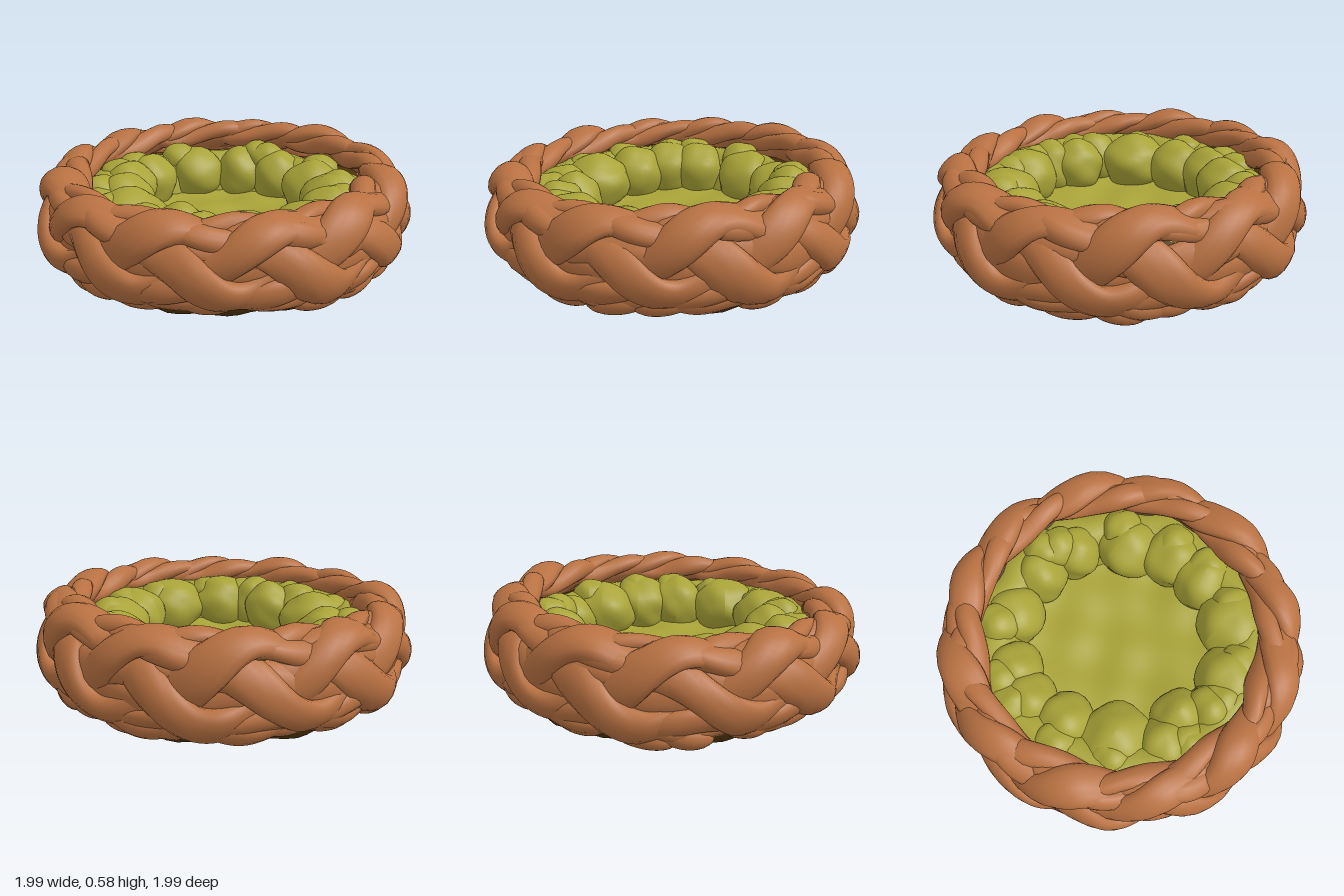
import * as THREE from 'three';

const TAU = Math.PI * 2;
const rad = THREE.MathUtils.degToRad;

export function createModel() {
  const mat = (name, color) => {
    const m = new THREE.MeshStandardMaterial({ color });
    m.name = name;
    return m;
  };
  const wood = mat('reddish brown twig', 0xb87142);
  const dark = mat('dark brown underlayer', 0x50340a);
  const moss = mat('olive moss', 0xa8a338);

  const nest = new THREE.Group();
  nest.name = 'nest';
  const add = (name, geo, material, parent = nest) => {
    const m = new THREE.Mesh(geo, material);
    m.name = name;
    parent.add(m);
    return m;
  };
  const group = (name) => {
    const g = new THREE.Group();
    g.name = name;
    nest.add(g);
    return g;
  };
  let seed = 7;
  const rnd = (a, b) => {
    seed = (seed * 16807) % 2147483647;
    return a + (b - a) * (seed / 2147483647);
  };

  // Point on the ring: theta runs round the nest, phi round the ring's section.
  // The rim dips towards the front.
  const ringPoint = (theta, phi, lift) => {
    const r = 0.82 + (0.1 + lift) * Math.cos(phi);
    const rise = Math.sin(phi) > 0 ? 0.18 - 0.035 * Math.cos(theta) : 0.19;
    return new THREE.Vector3(r * Math.sin(theta), 0.28 + (rise + lift) * Math.sin(phi), r * Math.cos(theta));
  };

  // Closed twig: phi swings up and down while the twig passes over and under
  function twig({ waves, phase, mid, swing, wide, thick, weave, sink = 0 }) {
    const N = 260, M = 14, pos = [], idx = [];
    const phiAt = (t) => rad(mid + swing * Math.sin(waves * t + phase) + 5 * Math.sin(3 * t + phase * 2));
    const at = (t) => ringPoint(t, phiAt(t), weave * Math.sin(2 * (waves * t + phase)) - sink);
    for (let i = 0; i < N; i++) {
      const t = (i / N) * TAU, phi = phiAt(t), c = at(t);
      const tangent = at(t + 0.01).sub(at(t - 0.01)).normalize();
      const out = new THREE.Vector3(Math.cos(phi) * Math.sin(t), Math.sin(phi), Math.cos(phi) * Math.cos(t));
      out.addScaledVector(tangent, -out.dot(tangent)).normalize();
      const side = new THREE.Vector3().crossVectors(out, tangent);
      const swell = 1 + 0.1 * Math.sin(7 * t + phase * 3) + 0.05 * Math.sin(17 * t + phase);
      for (let j = 0; j < M; j++) {
        const a = (j / M) * TAU;
        const groove = 1 + 0.04 * Math.sin(3 * a + 9 * t + phase);
        const p = c.clone()
          .addScaledVector(out, Math.cos(a) * thick * swell * groove)
          .addScaledVector(side, Math.sin(a) * wide * swell * groove);
        pos.push(p.x, Math.max(p.y, 0.015), p.z);
        const k = ((i + 1) % N) * M, n = (j + 1) % M;
        idx.push(i * M + j, k + j, i * M + n, i * M + n, k + j, k + n);
      }
    }
    const g = new THREE.BufferGeometry();
    g.setAttribute('position', new THREE.Float32BufferAttribute(pos, 3));
    g.setIndex(idx);
    g.computeVertexNormals();
    return g;
  }
  function braid(name, twigName, strands, options) {
    const g = group(name);
    for (let k = 0; k < strands; k++) {
      add(twigName, twig({ ...options, phase: options.phase + (k * TAU) / strands }), wood, g);
    }
  }
  // Big braid round the outside wall over a filler layer, finer ones along rim and foot
  braid('wallBraid', 'wallTwig', 3, { waves: 4, phase: 4.77, mid: 20, swing: 58, wide: 0.098, thick: 0.06, weave: 0.038 });
  braid('fillerLayer', 'fillerTwig', 2, { waves: 3, phase: 0.9, mid: 15, swing: 28, wide: 0.085, thick: 0.05, weave: 0.01, sink: 0.02 });
  braid('rimBraid', 'rimTwig', 3, { waves: 4, phase: 1.2, mid: 84, swing: 32, wide: 0.06, thick: 0.05, weave: 0.03 });
  braid('footBraid', 'footTwig', 2, { waves: 6, phase: 0.4, mid: -48, swing: 16, wide: 0.07, thick: 0.055, weave: 0.012 });

  // Short stubby twigs tucked under the wall
  const stubs = group('lowerTwigs');
  const COUNT = 22;
  for (let i = 0; i < COUNT; i++) {
    const holder = new THREE.Group();
    holder.rotation.y = ((i + rnd(-0.25, 0.25)) / COUNT) * TAU;
    stubs.add(holder);
    const stub = add('lowerTwig', new THREE.SphereGeometry(1, 20, 14), wood, holder);
    stub.scale.set(rnd(0.12, 0.17), 0.068, 0.075);
    stub.position.set(0, rnd(0.085, 0.13), rnd(0.84, 0.87));
    stub.rotation.z = rnd(-0.25, 0.25);
  }

  // Push the vertices beyond a radius in and out to make soft lobes
  function lobes(geo, from, rule) {
    const p = geo.attributes.position;
    for (let i = 0; i < p.count; i++) {
      const x = p.getX(i), z = p.getZ(i);
      if (Math.hypot(x, z) < from) continue;
      const s = 1 + rule(Math.atan2(x, z));
      p.setX(i, x * s);
      p.setZ(i, z * s);
    }
    geo.computeVertexNormals();
    return geo;
  }
  const lathe = (points) => new THREE.LatheGeometry(points.map(([x, y]) => new THREE.Vector2(x, y)), 96);

  // Dark body with a flat bottom and a lumpy lower edge
  const body = lathe([[0, 0.005], [0.5, 0.005], [0.76, 0.005], [0.83, 0.025], [0.885, 0.1], [0.895, 0.26],
    [0.85, 0.36], [0.78, 0.38], [0.72, 0.32], [0.62, 0.12], [0, 0.1]]);
  add('body', lobes(body, 0.75, (a) => 0.018 * Math.sin(a * 19) + 0.012 * Math.sin(a * 8)), dark);

  // Soft uneven floor
  const floorProfile = [];
  for (let i = 0; i <= 24; i++) floorProfile.push([0.66 * (1 - i / 24), 0]);
  const floor = lathe(floorProfile);
  const fp = floor.attributes.position;
  for (let i = 0; i < fp.count; i++) {
    const x = fp.getX(i), z = fp.getZ(i);
    fp.setY(i, 0.15 + 0.1 * (x * x + z * z) + 0.01 * Math.sin(16 * x + 1) * Math.cos(15 * z) + 0.004 * Math.sin(17 * z + 5 * x));
  }
  floor.computeVertexNormals();
  add('mossFloor', floor, moss);

  // Continuous moss bank behind the cushions
  const bank = lathe([[0.79, 0.36], [0.75, 0.385], [0.7, 0.395], [0.64, 0.38], [0.59, 0.33], [0.56, 0.24], [0.54, 0.15]]);
  add('mossBank', lobes(bank, 0, (a) => 0.025 * Math.sin(a * 15 + 1) + 0.015 * Math.sin(a * 7)), moss);

  // Lumpy cushions lining the wall
  const lining = group('mossLining');
  function cushion(x, y, z, w, h) {
    const g = new THREE.SphereGeometry(1, 28, 20);
    const p = g.attributes.position, v = new THREE.Vector3(), ph = rnd(0, TAU);
    for (let i = 0; i < p.count; i++) {
      v.fromBufferAttribute(p, i);
      v.multiplyScalar(1 + 0.05 * Math.sin(4 * v.x + ph) * Math.cos(5 * v.y + ph) + 0.03 * Math.sin(6 * v.z + 4 * v.y + ph));
      p.setXYZ(i, v.x * w, v.y * h, v.z * w);
    }
    g.computeVertexNormals();
    g.translate(x, y, z);
    add('mossCushion', g, moss, lining);
  }
  // x, z, radius of each cushion
  const lumps = [[-0.02, 0.53, 0.15], [0.13, 0.6, 0.14], [0.33, 0.53, 0.18], [0.56, 0.3, 0.2], [0.6, 0, 0.17],
    [0.56, -0.23, 0.18], [0.4, -0.43, 0.18], [0.13, -0.6, 0.15], [-0.11, -0.6, 0.15], [-0.37, -0.49, 0.17],
    [-0.56, -0.22, 0.16], [-0.6, -0.03, 0.16], [-0.51, 0.18, 0.16], [-0.36, 0.42, 0.2], [-0.17, 0.6, 0.15]];
  for (const [x, z, w] of lumps) {
    cushion(x, 0.27, z, w, 0.165);
    // Smaller lump above, pushed back against the rim
    const a = Math.atan2(x, z) + rnd(-0.16, 0.16), r = rnd(0.64, 0.68);
    cushion(r * Math.sin(a), 0.345 - 0.025 * Math.cos(a), r * Math.cos(a), 0.115, 0.095);
  }
  return nest;
}
